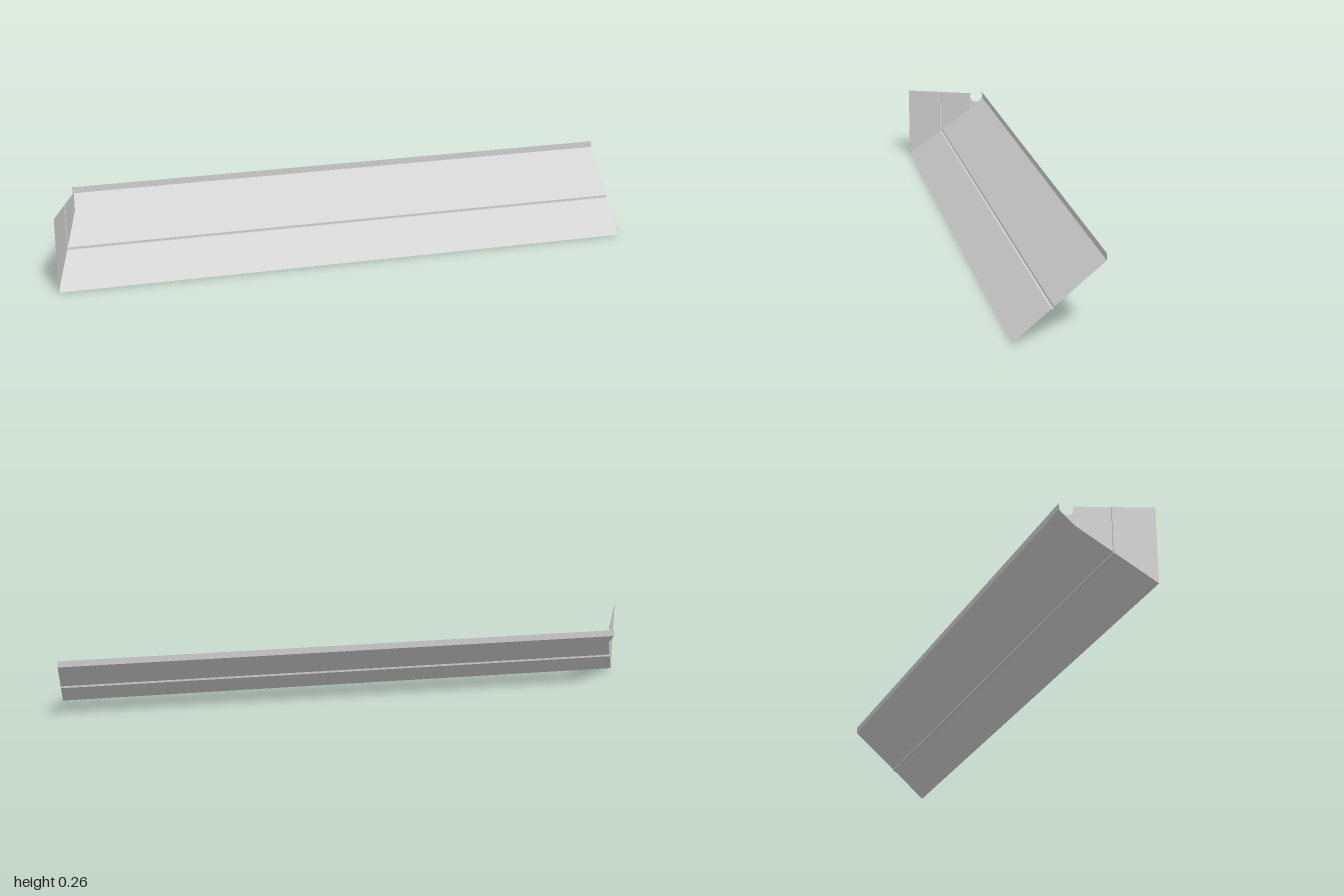
import * as THREE from 'three';

const material = new THREE.MeshStandardMaterial({ color: 0xcccccc, side: THREE.DoubleSide });
const TOP = 0.262, FRONT = 0.142, BACK = -0.142, BEND = -0.09;
const GROOVE_FRONT = 0.024, GROOVE_BACK = 0.016;

// Height of the sloping sheet, and x of the angled end wall, at depth z
const slopeY = z => 0.845 * (FRONT - z);
const wallX = z => -1 + 0.39 * (FRONT - Math.max(z, BEND));

function addMesh(group, name, geometry) {
  geometry.computeVertexNormals();
  const mesh = new THREE.Mesh(geometry, material);
  mesh.name = name;
  group.add(mesh);
}

// Flat quad from four corners, counter-clockwise as seen from its front
function quad(a, b, c, d) {
  const geometry = new THREE.BufferGeometry();
  geometry.setAttribute('position', new THREE.Float32BufferAttribute([a, b, c, a, c, d].flat(), 3));
  return geometry;
}

// Upright wall outlined in (-z, y), stood on the plan line x = wallX(z)
function wall(shape) {
  const geometry = new THREE.ShapeGeometry(shape, 32);
  const p = geometry.attributes.position;
  for (let i = 0; i < p.count; i++) {
    const z = -p.getX(i);
    p.setXYZ(i, wallX(z), p.getY(i), z);
  }
  return geometry;
}

// Wall panel between two depths, from the slope up to the top edge
function panel(z0, z1) {
  return wall(new THREE.Shape([[z0, slopeY(z0)], [z1, slopeY(z1)], [z1, TOP], [z0, TOP]]
    .map(([z, y]) => new THREE.Vector2(-z, y))));
}

export function createModel() {
  const group = new THREE.Group();
  const yGroove = slopeY(GROOVE_FRONT), yRiser = slopeY(GROOVE_BACK);
  const xGroove = wallX(GROOVE_FRONT), xRiser = wallX(GROOVE_BACK);

  // Long sheet: [z, y, x of left end], with a small step and an upright back lip
  const profile = [
    [FRONT, 0, -1],
    [GROOVE_FRONT, yGroove, xGroove],
    [GROOVE_BACK, yGroove, xGroove],
    [GROOVE_BACK, yRiser, xRiser],
    [BEND, slopeY(BEND), wallX(BEND)],
    [BACK, slopeY(BACK), wallX(BACK)],
    [BACK, TOP, wallX(BACK)],
  ];
  const names = ['frontSheet', 'stepTread', 'stepRiser', 'rearSheet', 'rearSheetEdge', 'backLip'];
  names.forEach((name, i) => {
    const [z0, y0, x0] = profile[i], [z1, y1, x1] = profile[i + 1];
    addMesh(group, name, quad([x0, y0, z0], [1, y0, z0], [1, y1, z1], [x1, y1, z1]));
  });

  // Angled end wall with a matching vertical step
  addMesh(group, 'endWallFront', panel(FRONT, GROOVE_FRONT));
  addMesh(group, 'endWallRear', panel(GROOVE_BACK, BEND));
  addMesh(group, 'endWallStepTread', quad(
    [xGroove, yGroove, GROOVE_FRONT], [xGroove, yGroove, GROOVE_BACK],
    [xGroove, TOP, GROOVE_BACK], [xGroove, TOP, GROOVE_FRONT]));
  addMesh(group, 'endWallStepRiser', quad(
    [xGroove, yGroove, GROOVE_BACK], [xRiser, yRiser, GROOVE_BACK],
    [xRiser, TOP, GROOVE_BACK], [xGroove, TOP, GROOVE_BACK]));

  // Back strip of the wall with the round notch, open at the top
  const radius = 0.024, cy = 0.25;
  const rise = Math.asin((TOP - cy) / radius);
  const notched = new THREE.Shape();
  notched.moveTo(-BEND, slopeY(BEND));
  notched.lineTo(-BACK, slopeY(BACK));
  notched.lineTo(-BACK, TOP);
  notched.absarc(0.116, cy, radius, rise, -Math.PI - rise, true);
  notched.lineTo(-BEND, TOP);
  notched.closePath();
  addMesh(group, 'notchedEndWall', wall(notched));

  return group;
}
